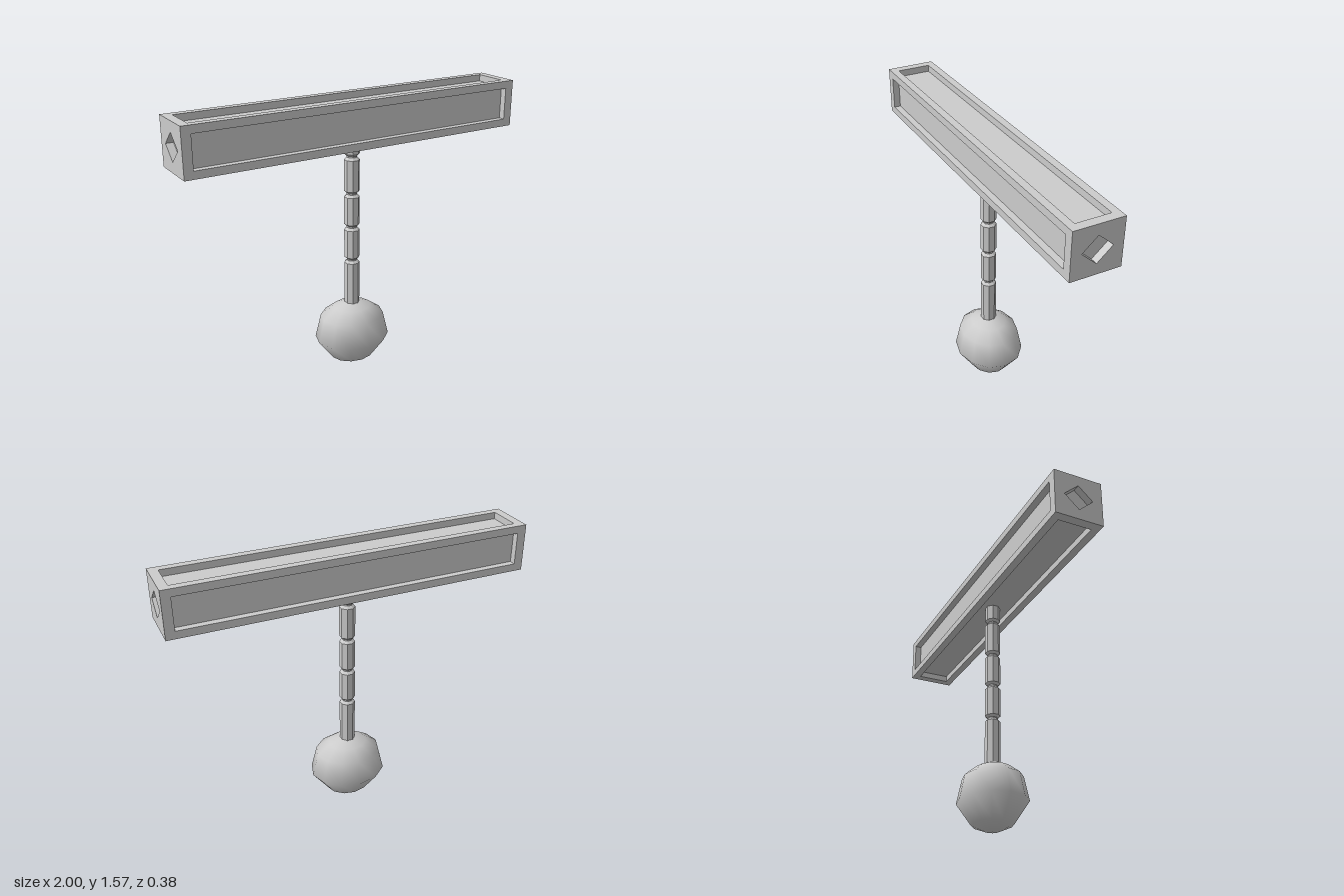
import * as THREE from 'three';

const flat = () => new THREE.MeshStandardMaterial({ color: 0xcccccc, flatShading: true });
const smooth = () => new THREE.MeshStandardMaterial({ color: 0xcccccc });

// Rectangular face (facing +z) with a four-cornered recess sunk into it
function recessedFace(w, h, hole, depth) {
  const outer = [[-w, -h], [w, -h], [w, h], [-w, h]];
  const rings = [
    outer.map(([x, y]) => [x, y, 0]),
    hole.map(([x, y]) => [x, y, 0]),
    hole.map(([x, y]) => [x, y, -depth]),
  ];
  const pos = [];
  const tri = (...pts) => pts.forEach((p) => pos.push(...p));
  for (let r = 0; r < 2; r++) {
    for (let i = 0; i < 4; i++) {
      const j = (i + 1) % 4;
      const [a, b, c, d] = [rings[r][i], rings[r][j], rings[r + 1][j], rings[r + 1][i]];
      tri(a, b, d);
      tri(b, c, d);
    }
  }
  const f = rings[2];
  tri(f[0], f[1], f[2]);
  tri(f[0], f[2], f[3]);
  const geo = new THREE.BufferGeometry();
  geo.setAttribute('position', new THREE.Float32BufferAttribute(pos, 3));
  geo.computeVertexNormals();
  return geo;
}

export function createModel() {
  const model = new THREE.Group();
  const add = (parent, name, geo, mat) => {
    const mesh = new THREE.Mesh(geo, mat);
    mesh.name = name;
    parent.add(mesh);
    return mesh;
  };

  // Head: long block with sunken panels on four sides and a diamond in each end
  const L = 1, H = 0.131, D = 0.136, rim = 0.042, depth = 0.037;
  const head = new THREE.Group();
  head.name = 'head';
  head.position.y = 1.438;
  model.add(head);

  const panel = (h) => {
    const x = L - 0.05, y = h - rim;
    return [[-x, -y], [x, -y], [x, y], [-x, y]];
  };
  const diamond = [[0, -0.073], [0.081, 0], [0, 0.073], [-0.081, 0]];

  const sides = [['frontPanel', 0, H, D], ['topPanel', -1, D, H], ['backPanel', 2, H, D], ['bottomPanel', 1, D, H]];
  for (const [name, turns, h, out] of sides) {
    const face = add(head, name, recessedFace(L, h, panel(h), depth).translate(0, 0, out), flat());
    face.rotation.x = turns * Math.PI / 2;
  }
  for (const s of [1, -1]) {
    const end = add(head, s > 0 ? 'leftEnd' : 'rightEnd',
      recessedFace(D, H, diamond, 0.04).translate(0, 0, L), flat());
    end.rotation.y = s * Math.PI / 2;
  }

  // Handle: octagonal shaft pinched by narrow grooves
  const R = 0.0433, neck = 0.029;
  const profile = [new THREE.Vector2(R, 0.34)];
  for (const y of [0.638, 0.836, 1.03, 1.241]) {
    profile.push(
      new THREE.Vector2(R, y - 0.018),
      new THREE.Vector2(neck, y - 0.004),
      new THREE.Vector2(neck, y + 0.004),
      new THREE.Vector2(R, y + 0.016),
    );
  }
  profile.push(new THREE.Vector2(R, 1.36));
  add(model, 'handle', new THREE.LatheGeometry(profile, 8, Math.PI / 8), flat());

  // Pommel: faceted ball, slightly flattened front to back
  const ball = [[0, 0], [0.05, 0.006], [0.128, 0.037], [0.22, 0.157], [0.187, 0.293], [0.112, 0.347], [0.04, 0.375], [0, 0.377]]
    .map(([x, y]) => new THREE.Vector2(x, y));
  add(model, 'pommel', new THREE.LatheGeometry(ball, 12).scale(1, 1, 0.864), smooth());

  return model;
}
